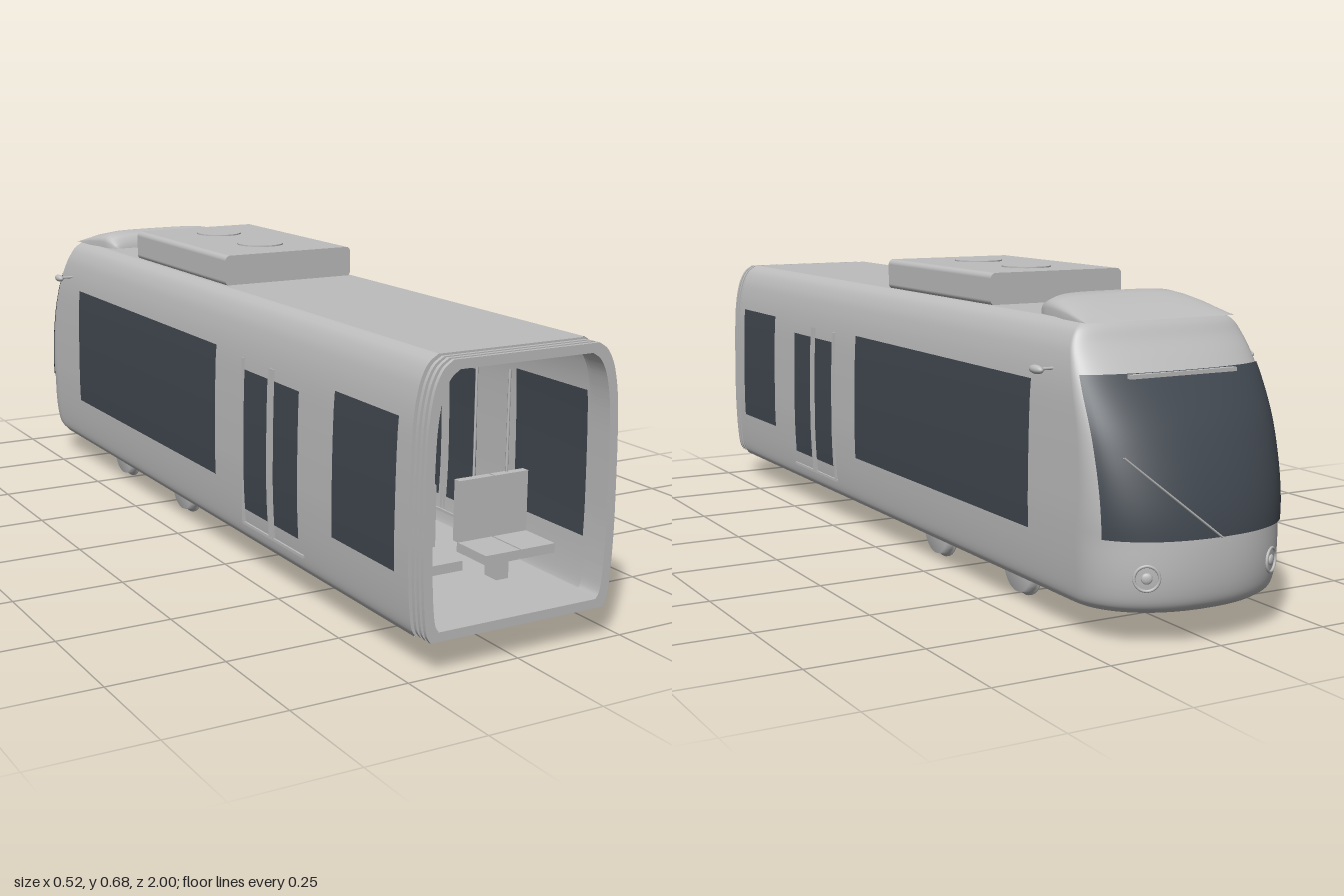
import * as THREE from 'three';

const bodyMat = new THREE.MeshStandardMaterial({ color: 0xbdbdbd, side: THREE.DoubleSide });
bodyMat.name = 'bodyGrey';
const glassMat = new THREE.MeshStandardMaterial({ color: 0x414850, side: THREE.DoubleSide });
glassMat.name = 'darkGlass';

// Side profile of the shell: half width, height, z of the nose tip
const profile = new THREE.CatmullRomCurve3([
  [0.205, 0.065, -0.962], [0.214, 0.08, -0.982], [0.22, 0.12, -0.992], [0.225, 0.22, -0.989],
  [0.225, 0.3, -0.97], [0.2235, 0.4, -0.927], [0.22, 0.48, -0.876], [0.213, 0.53, -0.84],
  [0.203, 0.565, -0.813], [0.188, 0.59, -0.797], [0.168, 0.604, -0.785],
].map((p) => new THREE.Vector3(...p)));
const levels = profile.getPoints(60);

function levelAt(y) {
  let i = 1;
  while (i < levels.length - 1 && levels[i].y < y) i++;
  const a = levels[i - 1], b = levels[i];
  return a.clone().lerp(b, THREE.MathUtils.clamp((y - a.y) / (b.y - a.y), 0, 1));
}

// Point on the rounded nose; angle 0 is the +x side, PI the -x side
function nosePoint(angle, y, out = 0) {
  const l = levelAt(y);
  const d = y < 0.2 ? 0.16 : Math.max(0.02, 0.16 - (y - 0.2) * 0.34);
  const c = Math.cos(angle), s = Math.max(0, Math.sin(angle));
  const x = Math.sign(c) * Math.abs(c) ** 0.9 * (l.x + out);
  return [x, y, l.z + d - (d + out) * s ** 0.9];
}

// Grid surface from a rule f(u, v), u and v from 0 to 1
function grid(nu, nv, f) {
  const pos = [], idx = [];
  for (let j = 0; j <= nv; j++) for (let i = 0; i <= nu; i++) pos.push(...f(i / nu, j / nv));
  for (let j = 0; j < nv; j++) for (let i = 0; i < nu; i++) {
    const a = j * (nu + 1) + i, b = a + nu + 1;
    idx.push(a, a + 1, b + 1, a, b + 1, b);
  }
  const g = new THREE.BufferGeometry();
  g.setAttribute('position', new THREE.Float32BufferAttribute(pos, 3));
  g.setIndex(idx);
  g.computeVertexNormals();
  return g;
}

// Cross-section of the car, shrunk inwards by off
function section(off) {
  const kx = 1 - off / 0.22, ky = 1 - off / 0.27;
  const right = levels.map((l) => new THREE.Vector2(l.x * kx, 0.335 + (l.y - 0.335) * ky));
  const left = right.map((p) => new THREE.Vector2(-p.x, p.y)).reverse();
  return [...right, ...left];
}

function frame(outer, inner, depth) {
  const s = new THREE.Shape(section(outer));
  s.holes.push(new THREE.Path(section(inner).reverse()));
  return new THREE.ExtrudeGeometry(s, { depth, bevelEnabled: false });
}

function roundedRect(x0, y0, x1, y1, r) {
  const s = new THREE.Shape();
  s.absarc(x1 - r, y0 + r, r, -Math.PI / 2, 0);
  s.absarc(x1 - r, y1 - r, r, 0, Math.PI / 2);
  s.absarc(x0 + r, y1 - r, r, Math.PI / 2, Math.PI);
  s.absarc(x0 + r, y0 + r, r, Math.PI, Math.PI * 1.5);
  return s;
}

export function createModel() {
  const model = new THREE.Group();
  model.name = 'tramCar';
  const add = (name, geo, x = 0, y = 0, z = 0, mat = bodyMat) => {
    const m = new THREE.Mesh(geo, mat);
    m.name = name;
    m.position.set(x, y, z);
    model.add(m);
    return m;
  };
  const box = (name, w, h, d, x, y, z, mat) => add(name, new THREE.BoxGeometry(w, h, d), x, y, z, mat);
  const rod = (name, a, b, r) => {
    const path = new THREE.LineCurve3(new THREE.Vector3(...a), new THREE.Vector3(...b));
    return add(name, new THREE.TubeGeometry(path, 1, r, 8));
  };
  const axle = (name, r, len, x, y, z) => add(name, new THREE.CylinderGeometry(r, r, len, 24).rotateZ(Math.PI / 2), x, y, z);

  // Shell: straight sides joined by the rounded nose
  const outline = (u, y) => {
    if (u === 0 || u === 1) return [levelAt(y).x * (u ? -1 : 1), y, 0.95];
    return nosePoint((u - 1 / 42) / (40 / 42) * Math.PI, y);
  };
  add('shell', grid(42, 60, (u, v) => outline(u, levels[Math.round(v * 60)].y)));
  const plan = (y, s) => new THREE.Shape(Array.from({ length: 43 }, (_, i) => {
    const p = outline(i / 42, y);
    return new THREE.Vector2(p[0], s * p[2]);
  }));
  add('roof', new THREE.ShapeGeometry(plan(0.604, -1)).rotateX(-Math.PI / 2), 0, 0.604);
  add('underside', new THREE.ShapeGeometry(plan(0.065, 1)).rotateX(Math.PI / 2), 0, 0.065);

  // Windscreen, its top bar and the wiper
  add('windscreen', grid(36, 24, (u, v) => {
    const edge = 0.42 - 0.1 * v;
    return nosePoint(edge + u * (Math.PI - 2 * edge), 0.21 + v * 0.3, 0.004);
  }), 0, 0, 0, glassMat);
  box('windscreenBar', 0.25, 0.008, 0.012, 0, 0.505, -0.862);
  rod('wiper', [0, 0.21, -0.997], [0.22, 0.38, -0.988], 0.0022);

  // Side windows and doors, seen from both sides of the wall
  const pane = (name, s, z0, z1, y0, y1) => {
    for (const off of [0.003, -0.003]) add(name, grid(1, 10, (u, v) => {
      const y = y0 + v * (y1 - y0);
      return [s * (levelAt(y).x + off), y, s > 0 ? z1 + u * (z0 - z1) : z0 + u * (z1 - z0)];
    }), 0, 0, 0, glassMat);
  };
  for (const s of [1, -1]) {
    pane('rearWindow', s, 0.68, 0.91, 0.185, 0.485);
    pane('mainWindow', s, -0.665, 0.16, 0.185, 0.485);
    pane('doorWindow', s, 0.435, 0.54, 0.14, 0.455);
    pane('doorWindow', s, 0.3, 0.405, 0.14, 0.455);
    box('doorSill', 0.008, 0.006, 0.27, s * 0.219, 0.105, 0.42);
    for (const z of [0.29, 0.414, 0.426]) box('doorPost', 0.006, 0.375, 0.006, s * 0.222, 0.292, z);

    // Mirrors
    rod('mirrorArm', [s * 0.21, 0.513, -0.735], [s * 0.25, 0.513, -0.735], 0.003);
    add('mirror', new THREE.SphereGeometry(0.009, 16, 12), s * 0.253, 0.513, -0.735).scale.z = 2.6;

    // Headlights, laid on the nose surface
    const angle = Math.PI / 2 - s * 0.68;
    const p = nosePoint(angle, 0.14, 0.001), q = nosePoint(angle + 0.03, 0.14, 0.001);
    const yaw = Math.atan2(-(q[2] - p[2]), q[0] - p[0]);
    add('headlightRing', new THREE.TorusGeometry(0.024, 0.003, 8, 24), ...p).rotation.y = yaw;
    add('headlightLens', new THREE.SphereGeometry(0.011, 16, 8).scale(1, 1, 0.4), ...p).rotation.y = yaw;
  }

  // Pleated gangway at the open end
  add('endFrame', frame(0.001, 0.02, 0.012), 0, 0, 0.94);
  for (let i = 0; i < 6; i++) {
    add('gangwayPleat', frame(i % 2 ? 0.003 : 0.011, 0.022, 0.008), 0, 0, 0.952 + i * 0.008);
  }

  // Roof unit with two fans
  add('roofUnit', new THREE.ExtrudeGeometry(roundedRect(-0.165, 0.602, 0.165, 0.672, 0.012),
    { depth: 0.495, bevelEnabled: false }), 0, 0, -0.402);
  for (const z of [-0.27, -0.05]) add('fan', new THREE.CylinderGeometry(0.055, 0.055, 0.004, 32), 0, 0.673, z);

  // Domed cowl above the cab: z, half width, height
  const cowl = [[-0.585, 0.14, 0], [-0.588, 0.15, 0.02], [-0.6, 0.16, 0.036], [-0.625, 0.165, 0.045],
    [-0.66, 0.168, 0.041], [-0.71, 0.172, 0.03], [-0.76, 0.175, 0.013], [-0.79, 0.176, 0]];
  add('roofCowl', grid(24, cowl.length - 1, (u, v) => {
    const [z, w, h] = cowl[Math.round(v * (cowl.length - 1))];
    const c = Math.cos(u * Math.PI), s = Math.max(0, Math.sin(u * Math.PI));
    return [-Math.sign(c) * Math.abs(c) ** 0.45 * w, 0.602 + h * s ** 0.5, z];
  }));

  // Bogie: wheels, brake discs, axles and motors
  for (const z of [-0.15, -0.52]) {
    axle('axle', 0.008, 0.3, 0, 0.065, z);
    for (const s of [1, -1]) {
      const tyre = [[0, -0.012], [0.055, -0.012], [0.059, 0.006], [0.065, 0.008], [0.065, 0.012], [0, 0.014]];
      const wheel = new THREE.LatheGeometry(tyre.map((p) => new THREE.Vector2(...p)), 32);
      add('wheel', wheel.rotateZ(s * Math.PI / 2), s * 0.155, 0.065, z);
      axle('brakeDisc', 0.042, 0.009, s * 0.098, 0.067, z);
    }
  }
  for (const z of [-0.25, -0.43]) axle('motor', 0.022, 0.15, -0.012, 0.06, z);

  // Interior: floor, cab wall with screen and window, seats and poles
  box('floor', 0.41, 0.012, 1.63, 0, 0.076, 0.135);
  add('cabWall', new THREE.ShapeGeometry(new THREE.Shape(section(0.006))), 0, 0, -0.69);
  box('displayScreen', 0.12, 0.038, 0.006, 0, 0.47, -0.686, glassMat);
  box('displayFrame', 0.13, 0.046, 0.003, 0, 0.47, -0.688);
  box('cabWindow', 0.104, 0.085, 0.006, -0.114, 0.372, -0.686, glassMat);
  for (const z of [0.76, 0.1, -0.1, -0.3, -0.5]) for (const s of [1, -1]) {
    for (const x of [0.07, 0.158]) {
      box('seatCushion', 0.084, 0.02, 0.1, s * x, 0.145, z + 0.04);
      box('seatBack', 0.084, z > 0.5 ? 0.13 : 0.175, 0.018, s * x, z > 0.5 ? 0.22 : 0.2425, z - 0.015);
    }
    box('seatLeg', 0.03, 0.06, 0.04, s * 0.1, 0.107, z + 0.03);
  }
  rod('centrePole', [0, 0.08, 0.42], [0, 0.6, 0.42], 0.003);
  for (const s of [1, -1]) {
    for (const z of [0.27, 0.57]) rod('doorPole', [s * 0.196, 0.08, z], [s * 0.196, 0.5, z], 0.003);
    rod('seatPole', [s * 0.155, 0.28, 0.74], [s * 0.155, 0.5, 0.74], 0.003);
  }
  return model;
}
